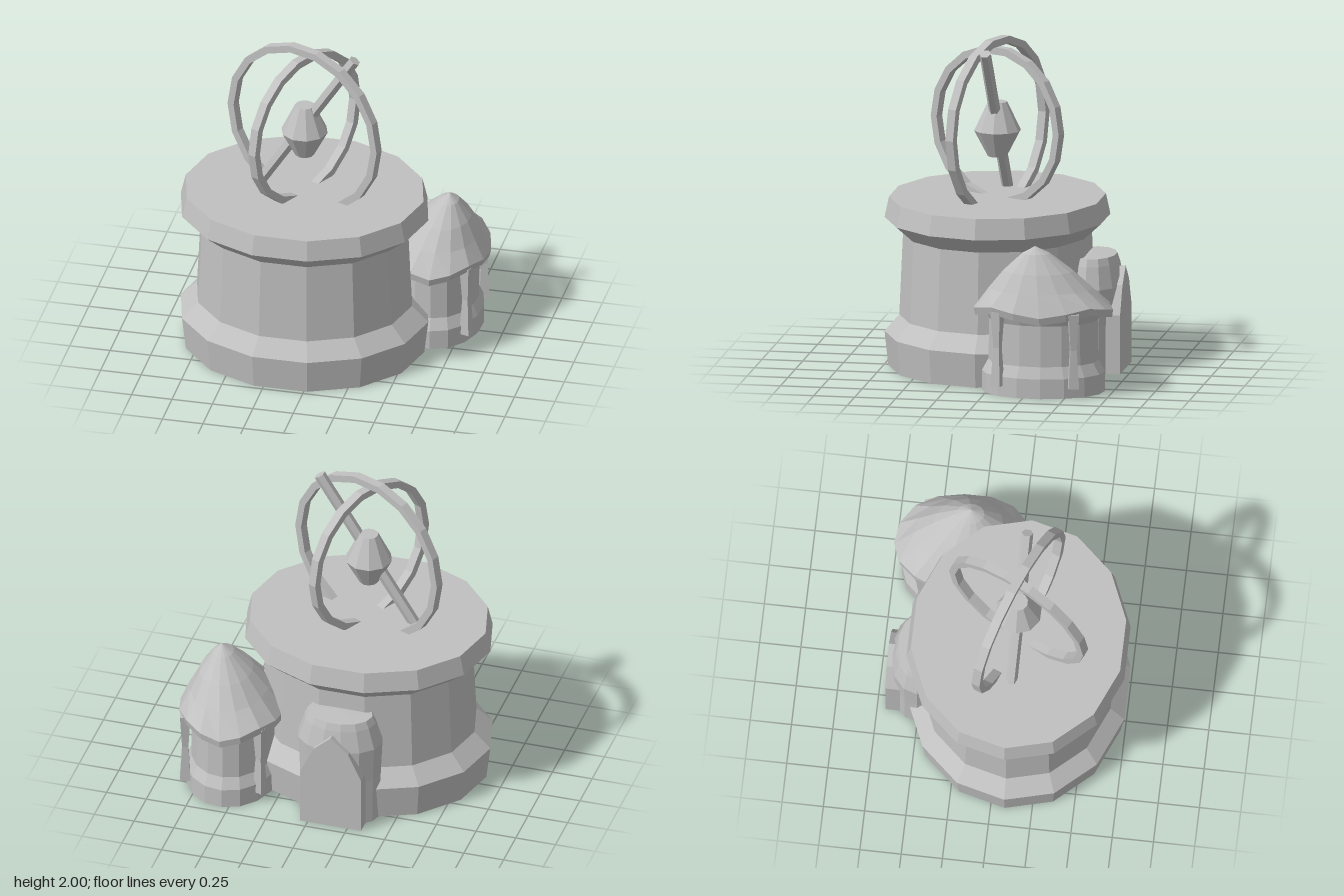
import * as THREE from 'three';

const stone = new THREE.MeshStandardMaterial({ color: 0xc0c0c0, flatShading: true, side: THREE.DoubleSide });
stone.name = 'grey stone';

const CX = -0.145, CZ = 0.085; // axis of the main drum

function part(name, geometry, parent) {
  const mesh = new THREE.Mesh(geometry, stone);
  mesh.name = name;
  parent.add(mesh);
  return mesh;
}

// Faceted turned shape with a vertex on the +x axis
function turned(profile, sides) {
  return new THREE.LatheGeometry(profile.map(([r, y]) => new THREE.Vector2(r, y)), sides).rotateY(Math.PI / 2);
}

// Flat hoop of square section, standing upright
function hoop(radius, thick, width) {
  const a = radius - thick, h = width / 2;
  return turned([[a, -h], [radius, -h], [radius, h], [a, h], [a, -h]], 18).rotateX(Math.PI / 2);
}

function drum(model) {
  const mesh = part('drum', turned([
    [0.74, 0], [0.765, 0.21], [0.665, 0.31], [0.64, 0.81], [0.765, 0.91], [0.735, 1.035], [0, 1.035],
  ], 14), model);
  mesh.scale.z = 0.885;
  mesh.position.set(CX, 0, CZ);
}

function armillary(model) {
  const group = new THREE.Group();
  group.name = 'armillary';
  model.add(group);

  const outer = part('outerRing', hoop(0.548, 0.045, 0.055), group);
  outer.position.set(CX, 1.46, CZ);
  outer.rotation.y = -0.381;
  const inner = part('innerRing', hoop(0.488, 0.045, 0.055), group);
  inner.position.set(CX, 1.465, CZ);
  inner.rotation.y = 1.09;

  // Double cone at the centre
  const core = part('core', turned([
    [0, 1.275], [0.058, 1.275], [0.142, 1.435], [0.058, 1.61], [0, 1.61],
  ], 10), group);
  core.position.set(CX, 0, CZ);

  // Slanted axle
  const low = new THREE.Vector3(-0.46, 0.99, 0.075), high = new THREE.Vector3(0.17, 1.965, 0.103);
  const axle = part('axle', new THREE.CylinderGeometry(0.036, 0.036, low.distanceTo(high), 6), group);
  axle.position.copy(low).add(high).multiplyScalar(0.5);
  axle.quaternion.setFromUnitVectors(new THREE.Vector3(0, 1, 0), high.clone().sub(low).normalize());
}

function sideTower(model) {
  const tower = new THREE.Group();
  tower.name = 'sideTower';
  tower.position.set(0.58, 0, -0.33);
  model.add(tower);

  const RX = 0.32, RZ = 0.422, TURN = 0.1;
  const body = turned([[0.88, 0], [0.88, 0.12], [0.79, 0.19], [0.78, 0.44], [0.84, 0.49], [0.84, 0.53]], 16);
  part('towerBody', body.scale(RX, 1, RZ).rotateY(TURN), tower);

  // Roof: wavy eave, and a tip that leans off centre
  const roof = turned([
    [0.82, 0.51], [0.98, 0.48], [1, 0.525], [0.74, 0.635], [0.5, 0.745], [0.2, 0.855], [0, 0.9],
  ], 16);
  const p = roof.attributes.position;
  for (let i = 0; i < p.count; i++) {
    const x = p.getX(i), y = p.getY(i), z = p.getZ(i);
    const lean = Math.max(0, (y - 0.5) / 0.4);
    const wave = y < 0.55 ? -0.024 * Math.cos(4 * Math.atan2(z, x)) : 0;
    p.setXYZ(i, x * RX + 0.08 * lean, y + wave, z * RZ + 0.045 * lean);
  }
  roof.rotateY(TURN);
  roof.computeVertexNormals();
  part('towerRoof', roof, tower);

  // Four posts, pinched at the middle
  for (const sx of [-1, 1]) {
    for (const sz of [-1, 1]) {
      const post = part('towerPost', turned([
        [0, 0.065], [0.045, 0.065], [0.027, 0.3], [0.045, 0.52], [0, 0.52],
      ], 4), tower);
      post.position.set(sx * 0.235, 0, sz * 0.232 + 0.008);
      post.rotation.y = sx * sz * -0.3 + Math.PI / 4;
    }
  }
}

function porch(model) {
  const group = new THREE.Group();
  group.name = 'porch';
  group.position.x = CX;
  model.add(group);

  // Rounded bay against the back of the drum
  const bay = part('bay', turned([
    [0.95, 0], [0.96, 0.3], [1, 0.52], [0.84, 0.655], [0.76, 0.7], [0, 0.705],
  ], 14), group);
  bay.scale.set(0.265, 1, 0.19);
  bay.position.z = -0.5;

  // Pointed-arch door
  const arch = [[-0.192, 0], [-0.192, 0.36], [-0.11, 0.53], [0, 0.63], [0.11, 0.53], [0.192, 0.36], [0.192, 0]];
  const shape = new THREE.Shape(arch.map(([x, y]) => new THREE.Vector2(x, y)));
  const door = part('door', new THREE.ExtrudeGeometry(shape, { depth: 0.16, bevelEnabled: false }), group);
  door.position.z = -0.7;
}

export function createModel() {
  const model = new THREE.Group();
  model.name = 'observatory';
  drum(model);
  armillary(model);
  sideTower(model);
  porch(model);
  return model;
}
